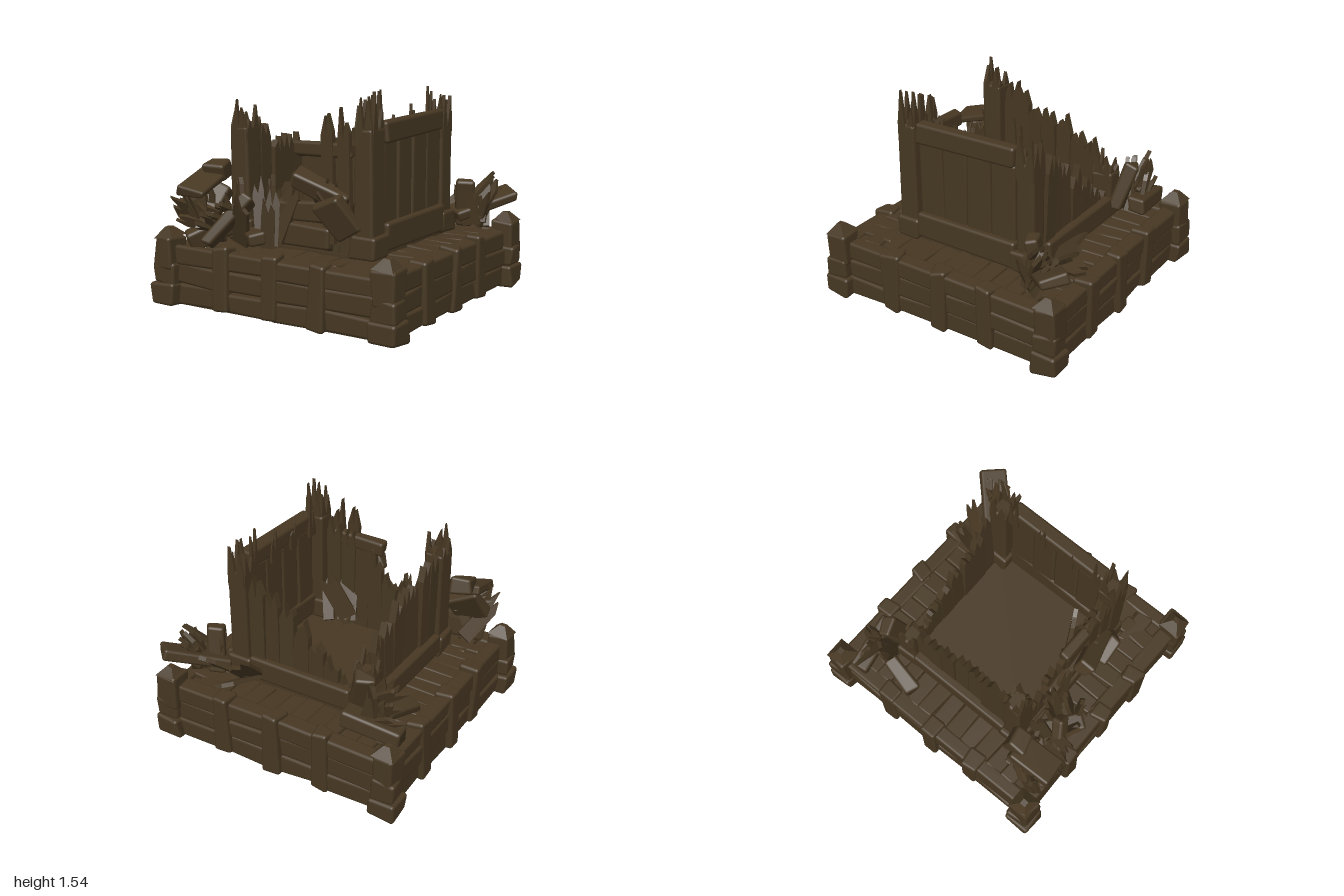
import * as THREE from 'three';
import { RoundedBoxGeometry } from 'three/addons/geometries/RoundedBoxGeometry.js';

export function createModel() {
  const model = new THREE.Group();
  model.name = 'ruinedWoodenTower';
  const wood = new THREE.MeshStandardMaterial({ color: 0x463722 });
  wood.name = 'dark weathered wood';

  let seed = 7;
  const rnd = () => (seed = (seed * 16807) % 2147483647) / 2147483647;
  const vary = (a) => (rnd() * 2 - 1) * a;

  function group(name) {
    const g = new THREE.Group();
    g.name = name;
    model.add(g);
    return g;
  }
  function place(parent, name, geo, pos, rot = [0, 0, 0]) {
    const m = new THREE.Mesh(geo, wood);
    m.name = name;
    m.position.set(...pos);
    m.rotation.set(...rot);
    parent.add(m);
  }
  // Hewn timber: rounded block with each corner nudged a little
  function beam(parent, name, pos, size, rot, wobble = 0.012) {
    const geo = new RoundedBoxGeometry(...size, 2, Math.min(0.022, Math.min(...size) * 0.3));
    const nudge = Array.from({ length: 8 }, () => [vary(wobble), vary(wobble), vary(wobble)]);
    const p = geo.attributes.position;
    for (let i = 0; i < p.count; i++) {
      const n = nudge[(p.getX(i) > 0 ? 1 : 0) + (p.getY(i) > 0 ? 2 : 0) + (p.getZ(i) > 0 ? 4 : 0)];
      p.setXYZ(i, p.getX(i) + n[0], p.getY(i) + n[1], p.getZ(i) + n[2]);
    }
    place(parent, name, geo, pos, rot);
  }
  // Snapped board standing on its base, with splinters along the top
  function board(parent, name, pos, [w, h, t], rot, spike = 0.12) {
    const s = new THREE.Shape();
    const n = Math.max(2, Math.round(w / 0.06));
    s.moveTo(-w / 2, 0);
    s.lineTo(w / 2, 0);
    s.lineTo(w / 2, h);
    for (let i = n - 1; i >= 0; i--) {
      s.lineTo(-w / 2 + (w * (i + 0.2 + rnd() * 0.6)) / n, h + spike * (0.15 + 0.85 * rnd()));
      s.lineTo(-w / 2 + (w * i) / n, h - spike * 0.3 * rnd());
    }
    const geo = new THREE.ExtrudeGeometry(s, { depth: t, bevelEnabled: false });
    geo.translate(0, 0, -t / 2);
    place(parent, name, geo, pos, rot);
  }

  // Solid platform core
  const platform = group('platform');
  place(platform, 'platformCore', new THREE.BoxGeometry(1.72, 0.4, 1.72), [0, 0.2, 0]);
  place(platform, 'innerFloor', new THREE.BoxGeometry(1.06, 0.04, 1.06), [0, 0.415, 0]);

  // Four log sides with uprights, and deck planks behind them
  const stops = [-0.8, -0.41, 0, 0.38, 0.8];
  for (let k = 0; k < 4; k++) {
    const side = group('platformSide');
    side.rotation.y = (k * Math.PI) / 2;
    for (let c = 0; c < 2; c++) {
      for (let i = 0; i < 4; i++) {
        const a = stops[i], b = stops[i + 1];
        beam(side, 'sideLog', [(a + b) / 2, 0.08 + c * 0.145, 0.845 + vary(0.012)], [b - a + 0.02, 0.145, 0.12], [0, 0, vary(0.03)], 0.01);
      }
    }
    for (const x of [-0.4, 0.4]) {
      beam(side, 'topLog', [x, 0.36, 0.85], [0.84, 0.14, 0.12], [0, 0, -x * 0.025]);
    }
    for (const x of stops.slice(1, 4)) {
      beam(side, 'sideUpright', [x, 0.235, 0.865], [0.13, 0.45, 0.14], [0, 0, vary(0.03)], 0.014);
    }
    for (let i = 0; i < 11; i++) {
      beam(side, 'deckPlank', [-0.66 + i * 0.132, 0.4, 0.685], [0.13, 0.05, 0.27], [vary(0.03), vary(0.03), vary(0.04)], 0.008);
    }
  }

  // Corner posts: two stacked blocks below a pointed head
  for (const x of [-0.88, 0.88]) for (const z of [-0.87, 0.87]) {
    const corner = group('cornerPost');
    corner.position.set(x, 0, z);
    beam(corner, 'cornerFoot', [0, 0.08, 0], [0.2, 0.15, 0.2]);
    beam(corner, 'cornerBlock', [0, 0.225, 0], [0.18, 0.15, 0.18]);
    beam(corner, 'cornerShaft', [0, 0.37, 0], [0.165, 0.24, 0.165], [0, vary(0.06), 0]);
    const cap = new THREE.CylinderGeometry(0.03, 0.115, 0.07, 4).toNonIndexed();
    cap.rotateY(Math.PI / 4);
    cap.computeVertexNormals();
    place(corner, 'cornerCap', cap, [0, 0.515, 0], [vary(0.1), 0, vary(0.1)]);
  }

  // Tower posts: collar, shaft and a crown of splinters
  function towerPost(x, z, h, spike) {
    const post = group('towerPost');
    post.position.set(x, 0, z);
    beam(post, 'postCollar', [0, 0.51, 0], [0.2, 0.16, 0.19]);
    beam(post, 'postShaft', [0, (h + 0.43) / 2, 0], [0.15, h - 0.43, 0.15], [0, 0, 0], 0.008);
    for (let k = 0; k < 4; k++) {
      const a = (k * Math.PI) / 2;
      board(post, 'postSplinter', [Math.sin(a) * 0.06, h - 0.12, Math.cos(a) * 0.06], [0.13, 0.12, 0.025], [0, a, 0], spike);
    }
  }
  towerPost(0.51, 0.49, 1.29, 0.25);
  towerPost(-0.5, 0.49, 1.24, 0.2);
  towerPost(0.51, -0.48, 1.25, 0.22);
  towerPost(-0.5, -0.48, 0.78, 0.15);

  // Intact wall
  const intact = group('intactWall');
  beam(intact, 'sillBeam', [0.55, 0.55, 0], [0.11, 0.19, 0.82]);
  beam(intact, 'headBeam', [0.55, 1.26, 0], [0.11, 0.14, 0.8]);
  for (let i = 0; i < 4; i++) {
    const z = -0.3 + i * 0.2;
    beam(intact, 'wallPlank', [0.535, 0.9, z], [0.06, 0.62, 0.195], [0, 0, 0], 0.006);
    board(intact, 'topSplinter', [0.49, 1.15, z * 1.22], [0.08, 0.12, 0.02], [0, Math.PI / 2, 0], 0.13 + Math.abs(z) * 0.4);
  }

  // Broken walls: snapped boards falling from one height to another
  function brokenWall(name, out, turn, from, to) {
    const wall = group(name);
    wall.rotation.y = turn;
    for (let i = 0; i < 7; i++) {
      const h = from + ((to - from) * i) / 6 + vary(0.04);
      board(wall, 'brokenPlank', [-0.36 + i * 0.12, 0.43, out + vary(0.008)], [0.116, h - 0.43, 0.05], [vary(0.03), 0, vary(0.02)], 0.13);
    }
    return wall;
  }
  const back = brokenWall('backWall', 0.51, Math.PI, 1.15, 0.62);
  beam(back, 'sillBeam', [0, 0.53, 0.54], [0.84, 0.16, 0.1]);
  const right = brokenWall('rightWall', 0.51, -Math.PI / 2, 0.88, 1.17);
  beam(right, 'sillBeam', [0, 0.53, 0.54], [0.84, 0.16, 0.1]);
  const front = brokenWall('frontWall', 0.49, 0, 0.68, 1.2);
  beam(front, 'sillBeam', [0.02, 0.53, 0.54], [0.48, 0.17, 0.1]);
  beam(front, 'secondBeam', [0, 0.695, 0.53], [0.4, 0.15, 0.08], [0, 0, 0.03]);
  beam(front, 'wallPlank', [0.1, 0.93, 0.5], [0.2, 0.4, 0.05], [0, 0, 0.02]);
  beam(front, 'brokenHeadBeam', [0.18, 1.13, 0.52], [0.45, 0.1, 0.09], [0, 0, 0.05]);
  for (const x of [0.24, 0.37]) {
    board(front, 'tallSplinter', [x, 0.5, 0.545], [0.09, 0.75, 0.04], [0, 0, 0.02], 0.2);
  }

  // Larger fallen timbers
  const rubble = group('fallenTimbers');
  beam(rubble, 'leaningBeam', [0.2, 0.86, 0.59], [0.42, 0.14, 0.13], [0.3, 0.1, -0.5]);
  beam(rubble, 'hangingPanel', [0.35, 0.7, 0.62], [0.2, 0.28, 0.08], [0.35, 0.2, 0.45]);
  beam(rubble, 'beamEnd', [-0.64, 0.94, 0.62], [0.16, 0.13, 0.14], [0.3, 0.2, -0.1]);
  beam(rubble, 'fallenSlab', [-0.66, 0.86, 0.78], [0.2, 0.06, 0.34], [0.3, 0.1, -0.15]);
  beam(rubble, 'brokenPanel', [-0.66, 0.74, 0.7], [0.24, 0.26, 0.08], [-0.5, 0.3, -0.25]);
  beam(rubble, 'slantedPost', [-0.42, 0.63, 0.8], [0.11, 0.44, 0.09], [-0.35, 0.2, -0.6]);
  beam(rubble, 'lyingBeam', [-0.6, 0.53, 0.74], [0.36, 0.14, 0.12], [0.3, 0.9, 0.2]);
  beam(rubble, 'lyingBeam', [-0.27, 0.52, 0.72], [0.3, 0.1, 0.12], [0.2, -0.7, 0.15]);
  beam(rubble, 'fallenSlab', [0.74, 0.62, -0.76], [0.2, 0.07, 0.48], [0.4, -0.72, 0.1]);
  beam(rubble, 'brokenPanel', [0.66, 0.64, -0.62], [0.14, 0.34, 0.09], [0.2, 0.4, -0.1]);
  beam(rubble, 'lyingBeam', [-0.68, 0.53, -0.72], [0.42, 0.12, 0.12], [0.1, 0.15, 0.15]);
  beam(rubble, 'slantedPost', [-0.53, 0.67, -0.62], [0.13, 0.36, 0.1], [-0.3, 0.3, 0.3]);
  beam(rubble, 'fallenSlab', [-0.72, 0.5, -0.42], [0.11, 0.07, 0.3], [0.2, -0.25, 0.3]);

  // Heaps of splintered boards scattered about a centre, tipping by a given lean
  function heap(x, z, spreadX, spreadZ, count, height, leanX, leanZ) {
    const pile = group('splinterHeap');
    for (let i = 0; i < count; i++) {
      const size = [0.08 + rnd() * 0.07, height * (0.6 + rnd() * 0.4), 0.03];
      const tilt = [leanZ + vary(0.4), vary(0.7), -leanX + vary(0.35)];
      board(pile, 'leaningShard', [x + vary(spreadX), 0.45 + rnd() * 0.06, z + vary(spreadZ)], size, tilt);
    }
  }
  heap(-0.6, 0.72, 0.12, 0.12, 8, 0.34, -0.2, 0.3);
  heap(-0.27, 0.66, 0.15, 0.1, 8, 0.38, 0, 0.1);
  heap(0.2, 0.36, 0.14, 0.06, 4, 0.42, 0.2, 0.4);
  heap(0.7, -0.66, 0.09, 0.08, 8, 0.3, 0.08, -0.25);
  heap(0.37, -0.6, 0.06, 0.04, 3, 0.36, 0.2, -0.9);
  heap(-0.62, -0.64, 0.08, 0.08, 7, 0.3, -0.25, -0.15);

  // Shards jutting sideways from the heaps
  for (let i = 0; i < 3; i++) {
    board(rubble, 'juttingShard', [-0.56, 0.56 + i * 0.08, 0.78 - i * 0.06], [0.08, 0.2, 0.03], [0.4, 0.3, 1.2 - i * 0.1]);
    board(rubble, 'juttingShard', [-0.62, 0.52 + i * 0.07, -0.72 + i * 0.04], [0.08, 0.2, 0.03], [-0.3, 0.2, 1.25 - i * 0.1]);
    board(rubble, 'juttingShard', [0.72, 0.55 + i * 0.07, -0.76 + i * 0.06], [0.07, 0.12, 0.03], [-0.9, -0.4, -0.5]);
    board(rubble, 'juttingShard', [-0.56 + i * 0.08, 0.52 + i * 0.08, 0.74], [0.08, 0.16, 0.03], [1.1, 0.2, 0.2]);
  }

  return model;
}
